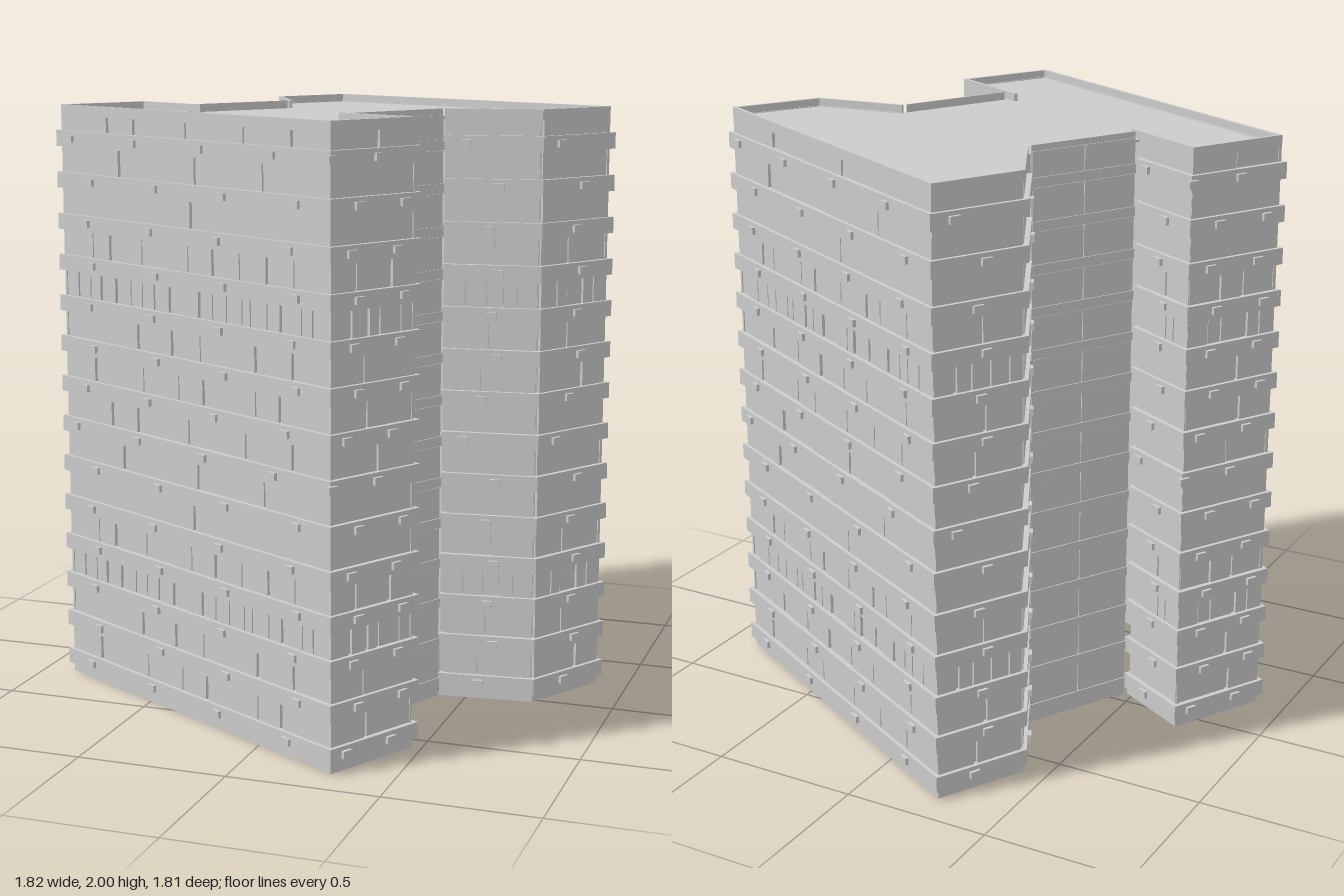
import * as THREE from 'three';
import { mergeGeometries } from 'three/addons/utils/BufferGeometryUtils.js';

// plan corners as [x, z]; outward side of p -> q is (dz, -dx)
const A = [-0.27, -0.9], B = [0.908, -0.26], C = [0.735, 0.035], D = [0.41, 0.07];
const E = [0.23, 0.425], F = [0.485, 0.56], G = [0.305, 0.893], H = [-0.912, 0.23];
const I = [-0.73, -0.1], J = [-0.47, 0.045], K = [-0.28, -0.3], L = [-0.432, -0.6];
const BACK = [K, L, A, B, C, D], FRONT = [E, F, G, H, I, J];
const STOREYS = 14, STEP = 0.1408, FIRST = 0.057, BAND = 0.027, WALL = -0.013;
const bandY = (k) => FIRST + k * STEP;

const material = new THREE.MeshStandardMaterial({ color: 0xcccccc, flatShading: true, side: THREE.DoubleSide });

let seed = 1;
function random() {
  seed = (seed * 16807) % 2147483647;
  return seed / 2147483647;
}

function edge(p, q) {
  const dx = q[0] - p[0], dz = q[1] - p[1], length = Math.hypot(dx, dz);
  return { p, length, d: [dx / length, dz / length], n: [dz / length, -dx / length] };
}

// polyline moved sideways with mitred corners
function offsetPath(path, off) {
  return path.map((pt, i) => {
    const a = i > 0 ? edge(path[i - 1], pt).n : edge(pt, path[1]).n;
    const b = i < path.length - 1 ? edge(pt, path[i + 1]).n : a;
    const s = off / (1 + a[0] * b[0] + a[1] * b[1]);
    return [pt[0] + (a[0] + b[0]) * s, pt[1] + (a[1] + b[1]) * s];
  });
}

// vertical prism over a plan polygon
function prism(points, y0, y1) {
  const shape = new THREE.Shape(points.map(([x, z]) => new THREE.Vector2(x, -z)));
  const geo = new THREE.ExtrudeGeometry(shape, { depth: y1 - y0, bevelEnabled: false });
  return geo.rotateX(-Math.PI / 2).translate(0, y0, 0);
}

const strip = (path, inner, outer, y0, y1) =>
  prism([...offsetPath(path, outer), ...offsetPath(path, inner).reverse()], y0, y1);

// box lying along an edge from distance s0 to s1, between two sideways offsets
function edgeBox(e, s0, s1, inner, outer, y0, y1) {
  const s = (s0 + s1) / 2, o = (inner + outer) / 2;
  return new THREE.BoxGeometry(s1 - s0, y1 - y0, outer - inner)
    .rotateY(Math.atan2(-e.d[1], e.d[0]))
    .translate(e.p[0] + e.d[0] * s + e.n[0] * o, (y0 + y1) / 2, e.p[1] + e.d[1] * s + e.n[1] * o);
}

export function createModel() {
  const group = new THREE.Group();
  const add = (name, geos) => {
    const mesh = new THREE.Mesh(mergeGeometries(geos.map((g) => (g.index ? g.toNonIndexed() : g))), material);
    mesh.name = name;
    group.add(mesh);
  };
  const chains = [BACK, FRONT];

  // recessed wall behind the facade panels
  add('innerWall', chains.map((c) => strip(c, -0.03, -0.023, 0, 1.975)));

  // foot of the walls, projecting floor bands and parapet
  add('baseCourse', chains.map((c) => strip(c, -0.025, WALL, 0, bandY(0) - BAND)));
  const bands = [];
  for (let k = 0; k < STOREYS; k++) {
    for (const c of chains) bands.push(strip(c, -0.025, 0, bandY(k) - BAND, bandY(k) + BAND));
  }
  add('floorBands', bands);
  const frontParapet = [[0.18, 0.4], ...FRONT.slice(1, 5), [-0.43, 0.067]];
  add('parapet', [BACK, frontParapet].map((c) => strip(c, -0.025, WALL, 1.965, 2)));

  // facade panels: each storey has its own rhythm, repeating every seven floors
  const density = [5, 5, 14, 7, 1.2, 3, 4];
  const panels = [];
  for (let k = 0; k < STOREYS; k++) {
    const type = k % 7, y0 = bandY(k) + BAND;
    const y1 = k === STOREYS - 1 ? 1.965 : bandY(k + 1) - BAND;
    seed = 101 + type * 977;
    for (const c of chains) {
      for (let i = 0; i < c.length - 1; i++) {
        const e = edge(c[i], c[i + 1]);
        const bays = Math.max(1, Math.round(e.length * density[type]));
        const start = 0.014, bay = (e.length - 2 * start) / bays;
        let s = start;
        for (let b = 1; b <= bays; b++) {
          const end = b === bays ? e.length - start : start + bay * (b + (random() - 0.5) * 0.5);
          const gap = b === bays ? 0 : random() < 0.4 ? 0.014 : 0.005;
          panels.push(edgeBox(e, s, end - gap, -0.024, WALL - (random() < 0.25 ? 0.004 : 0), y0, y1));
          s = end;
        }
      }
    }
  }
  add('facadePanels', panels);

  // small boxes mounted on the bands, shifted from floor to floor
  const shift = [-0.03, 0.02, 0, 0.02, -0.01, 0.02, -0.09];
  const units = [];
  for (let k = 0; k < STOREYS; k++) {
    for (const c of chains) {
      for (let i = 0; i < c.length - 1; i++) {
        const e = edge(c[i], c[i + 1]);
        const count = e.length > 1 ? 4 : e.length > 0.36 ? 2 : 1;
        for (let u = 0; u < count; u++) {
          const s = (e.length * (u + 0.5)) / count - shift[k % 7];
          units.push(edgeBox(e, s - 0.018, s + 0.018, -0.005, 0.011, bandY(k) - 0.011, bandY(k) + 0.013));
        }
      }
    }
  }
  add('wallUnits', units);

  // plain linking walls in the two side recesses: two bays with thin floor rails
  const links = [], rails = [];
  for (const [p, q] of [[D, E], [J, K]]) {
    const e = edge(p, q), half = e.length / 2;
    links.push(edgeBox(e, 0, e.length, -0.012, -0.006, 0, 2));
    for (let k = 0; k < STOREYS; k++) {
      const y = bandY(k);
      for (const s of [0, half]) {
        links.push(edgeBox(e, s + 0.002, s + half - 0.002, -0.008, -0.002, y - 0.02, Math.min(y + STEP - 0.024, 1.98)));
      }
      rails.push(edgeBox(e, 0, e.length, -0.008, 0.002, y - 0.022, y + 0.01));
    }
  }
  add('linkWalls', links);
  add('linkRails', rails);

  // roof over the main block and the two end bays; floors under the end bays only
  const westInner = [-0.65, 0.36], eastInner = [0.06, 0.74];
  const ring = [...offsetPath(BACK, -0.02), ...offsetPath(FRONT, -0.02)];
  const [, , , , , , rE, rF, rG, rH, rI, rJ] = ring;
  add('roof', [
    prism([...ring.slice(0, 6), E, eastInner, westInner, J], 1.965, 1.973),
    prism([rE, rF, rG, eastInner], 1.965, 1.973),
    prism([rH, rI, rJ, westInner], 1.965, 1.973),
  ]);
  add('endBayFloors', [
    prism([rE, rF, rG, eastInner], 0, 0.008),
    prism([rH, rI, rJ, westInner], 0, 0.008),
  ]);
  return group;
}
